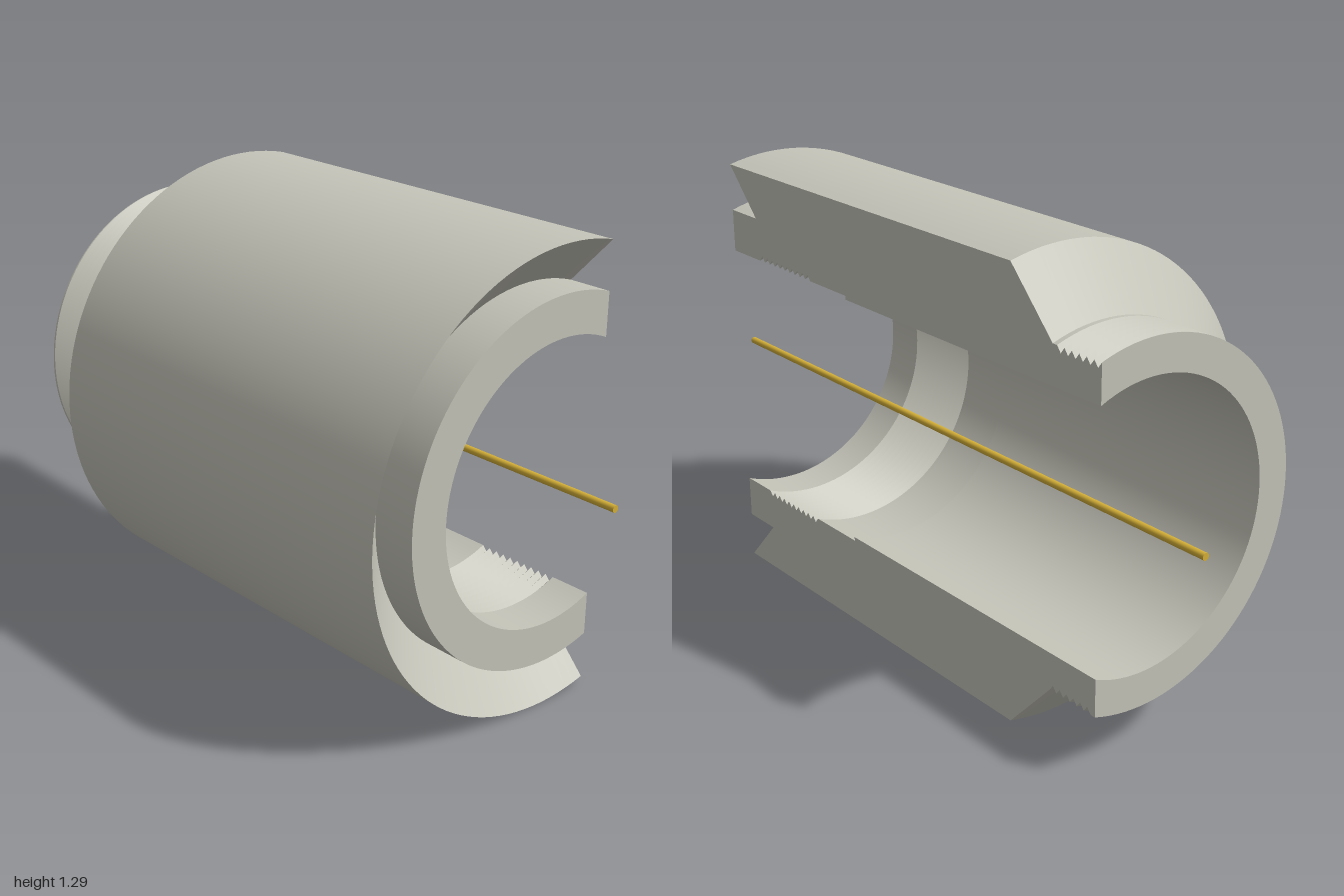
import * as THREE from 'three';
import { mergeGeometries } from 'three/addons/utils/BufferGeometryUtils.js';

const R = 0.645;        // outer radius, also the height of the axis
const AXIS_Z = -0.2425; // axis position in depth
const CUT = 0.16;       // distance of the cutting plane behind the axis
const SEGMENTS = 72;

// Profile points are [x, radius, pitch]; pitch makes the point follow a helix.
function thread(from, to, crest, root, teeth) {
  const pitch = (to - from) / (teeth + 0.6), p = Math.abs(pitch);
  const points = [[from, crest, 0]];
  for (let i = 0; i < teeth; i++) {
    const x = from + pitch * (i + 0.3);
    points.push([x, crest, p], [x + pitch * 0.5, root, p]);
  }
  points.push([from + pitch * (teeth + 0.3), crest, p], [to, crest, 0]);
  return points;
}

const halfAngle = (r) => Math.acos(-CUT / r);

function pointAt([x, r, pitch], t) {
  const a = halfAngle(r) * t;
  return [x - pitch * a / (2 * Math.PI), r * Math.sin(a), r * Math.cos(a)];
}

// Sweep one profile edge around the axis, stopping at the cutting plane
function strip(p, q) {
  const positions = [], index = [];
  for (let j = 0; j <= SEGMENTS; j++) {
    const t = (j / SEGMENTS) * 2 - 1;
    positions.push(...pointAt(p, t), ...pointAt(q, t));
    if (j < SEGMENTS) {
      const k = j * 2;
      index.push(k, k + 1, k + 2, k + 1, k + 3, k + 2);
    }
  }
  const g = new THREE.BufferGeometry();
  g.setAttribute('position', new THREE.Float32BufferAttribute(positions, 3));
  g.setIndex(index);
  g.computeVertexNormals();
  return g;
}

function sweep(points) {
  const strips = [];
  for (let i = 0; i + 1 < points.length; i++) strips.push(strip(points[i], points[i + 1]));
  return mergeGeometries(strips);
}

export function createModel() {
  const steel = new THREE.MeshStandardMaterial({ color: 0xc4c3b8 });
  steel.name = 'pale steel';
  const gold = new THREE.MeshStandardMaterial({ color: 0xd4af37 });
  gold.name = 'gold';

  const model = new THREE.Group();
  model.name = 'threadedSleeveSection';
  const add = (name, geometry, material) => {
    const mesh = new THREE.Mesh(geometry, material);
    mesh.name = name;
    mesh.position.set(0, R, AXIS_Z);
    model.add(mesh);
    return mesh;
  };

  // Closed profile, named section by section
  const sections = {
    neckEnd: [[-0.805, 0.39, 0], [-0.805, 0.488, 0]],
    neckThread: thread(-0.805, -0.635, 0.488, 0.472, 6),
    shoulder: [[-0.635, 0.488, 0], [-0.48, R, 0]],
    outerWall: [[-0.48, R, 0], [0.803, R, 0]],
    bevelGroove: [[0.803, R, 0], [0.675, 0.515, 0], [0.803, 0.515, 0]],
    collarEnd: [[0.803, 0.515, 0], [0.803, 0.4, 0]],
    entryBore: [[0.803, 0.4, 0], [0.68, 0.4, 0]],
    innerThread: thread(0.68, 0.4, 0.4, 0.414, 10),
    counterBore: [[0.4, 0.4, 0], [0.225, 0.4, 0], [0.225, 0.39, 0]],
    mainBore: [[0.225, 0.39, 0], [-0.805, 0.39, 0]],
  };
  for (const [name, points] of Object.entries(sections)) add(name, sweep(points), steel);

  // Flat cut faces above and below the axis, facing back
  const profile = Object.values(sections).flatMap((points) => points.slice(0, -1));
  for (const side of [1, -1]) {
    const outline = profile.map((p) => {
      const [x, y] = pointAt(p, side);
      return new THREE.Vector2(-x, y);
    });
    const face = new THREE.ShapeGeometry(new THREE.Shape(outline));
    face.rotateY(Math.PI).translate(0, 0, -CUT);
    add(side > 0 ? 'upperCutFace' : 'lowerCutFace', face, steel);
  }

  // Thin rod along the axis
  add('axisRod', new THREE.CylinderGeometry(0.01, 0.01, 2, 24).rotateZ(Math.PI / 2), gold);

  return model;
}
